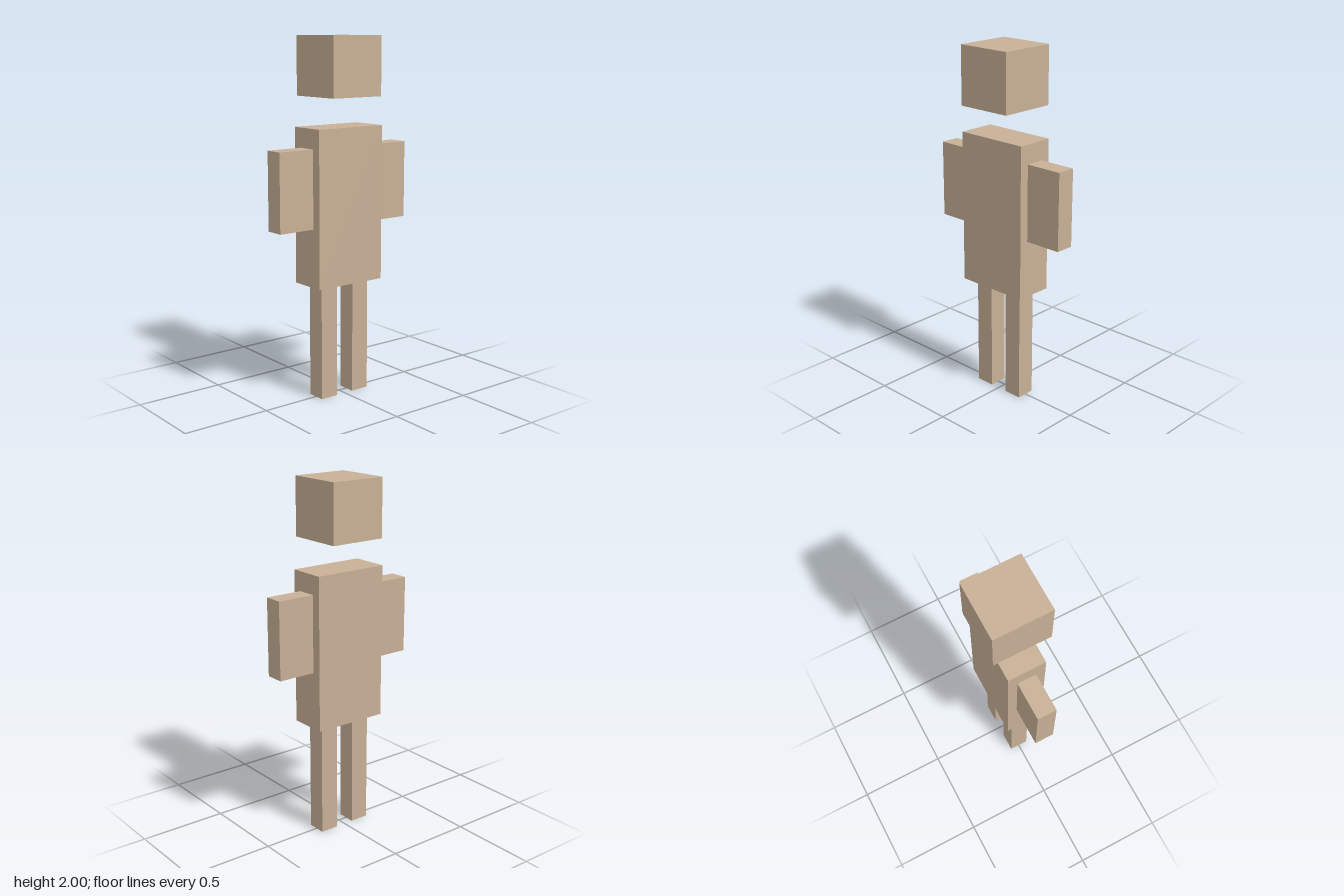
import * as THREE from 'three';

// One block unit: the figure is 18.5 units tall and 2 world units high
const U = 2 / 18.5;

export function createModel() {
  const model = new THREE.Group();
  model.name = 'blockFigure';
  const skin = new THREE.MeshStandardMaterial({ color: 0xc8b096, flatShading: true });

  // Box of w x h x d units, with its underside at height y
  function block(name, w, h, d, x, y) {
    const mesh = new THREE.Mesh(new THREE.BoxGeometry(w * U, h * U, d * U), skin);
    mesh.name = name;
    mesh.position.set(x * U, (y + h / 2) * U, 0);
    model.add(mesh);
  }

  // Floating head and torso
  block('head', 3, 3, 3, 0, 15.5);
  block('torso', 4, 8, 2, 0, 6);

  // Mirrored limbs
  for (const [side, s] of [['left', 1], ['right', -1]]) {
    block(side + 'Arm', 2, 4, 1, s * 3, 9);
    block(side + 'Leg', 1, 6, 1, s, 0);
  }
  return model;
}
